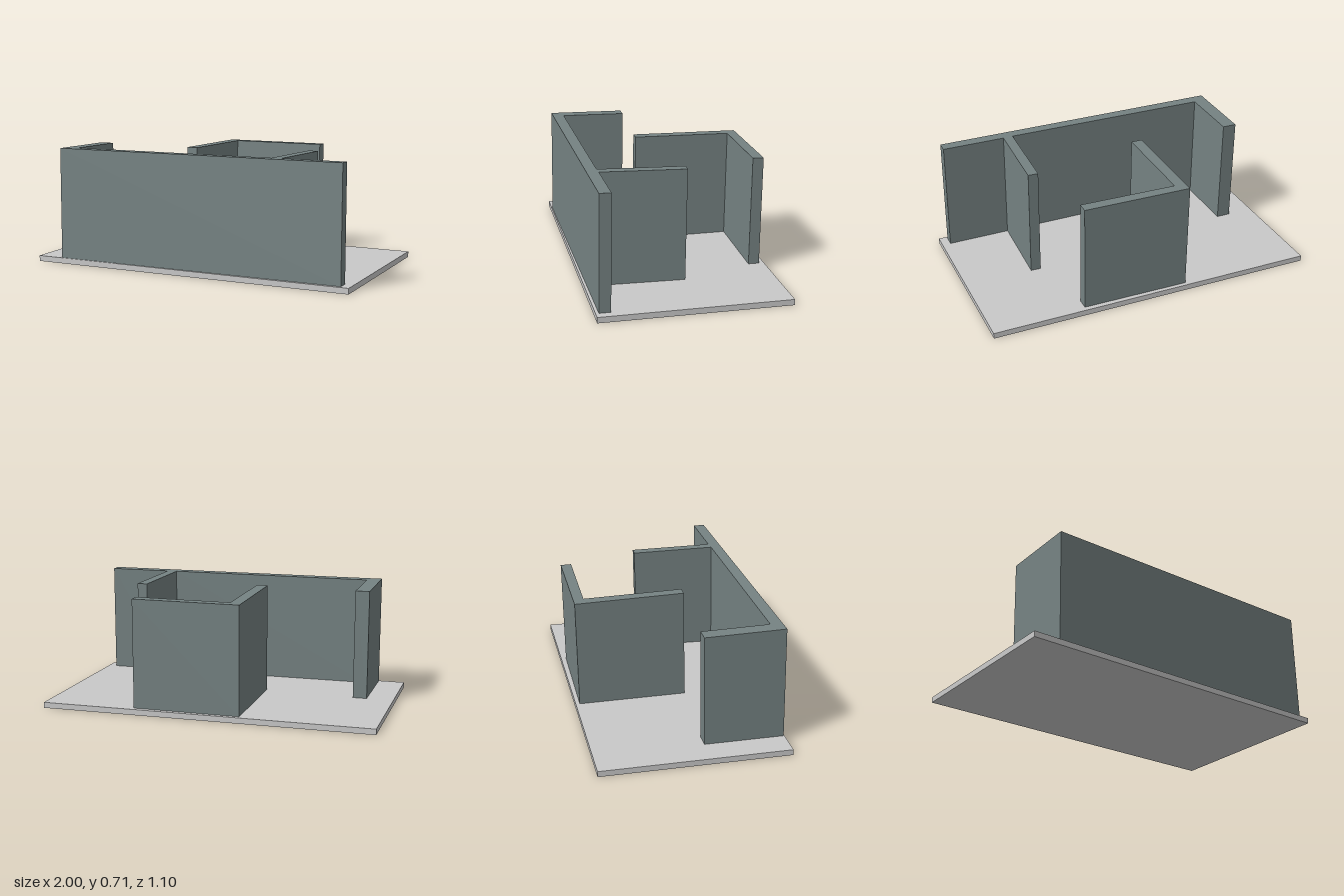
import * as THREE from 'three';

const FLOOR = 0.033, TOP = 0.694;

// Extrude a floor-plan outline of [x, z] points upward, with a slight lean and sloping top
function wall(name, plan, material) {
  const shape = new THREE.Shape(plan.map(([x, z]) => new THREE.Vector2(x, -z)));
  const geometry = new THREE.ExtrudeGeometry(shape, { depth: 1, bevelEnabled: false });
  geometry.rotateX(-Math.PI / 2);
  const p = geometry.attributes.position;
  for (let i = 0; i < p.count; i++) {
    const x = p.getX(i), z = p.getZ(i), t = p.getY(i);
    const top = TOP + 0.018 * z + 0.003 * x;
    p.setXYZ(i, x + 0.004 * (1 - t), FLOOR + (top - FLOOR) * t, z + 0.012 * (1 - t));
  }
  geometry.computeVertexNormals();
  const mesh = new THREE.Mesh(geometry, material);
  mesh.name = name;
  return mesh;
}

export function createModel() {
  const group = new THREE.Group();
  group.name = 'roomModel';
  const floorGrey = new THREE.MeshStandardMaterial({ color: 0xc9c9c9 });
  floorGrey.name = 'floor grey';
  const wallGrey = new THREE.MeshStandardMaterial({ color: 0x758282 });
  wallGrey.name = 'wall slate grey';

  // Floor slab
  const floor = new THREE.Mesh(new THREE.BoxGeometry(2, 0.034, 1.104), floorGrey);
  floor.position.y = 0.017;
  floor.name = 'floor';
  group.add(floor);

  // Long front wall with a return at one end and a partition
  group.add(wall('frontWall', [
    [-0.842, 0.07], [-0.842, 0.535], [0.945, 0.522], [0.945, 0.455], [0.565, 0.457],
    [0.585, -0.043], [0.524, -0.045], [0.505, 0.46], [-0.757, 0.465], [-0.757, 0.07],
  ], wallGrey));

  // L-shaped back wall
  group.add(wall('backWall', [
    [-0.212, -0.54], [-0.207, 0.108], [-0.14, 0.108], [-0.143, -0.478],
    [0.433, -0.468], [0.433, -0.533],
  ], wallGrey));

  return group;
}
